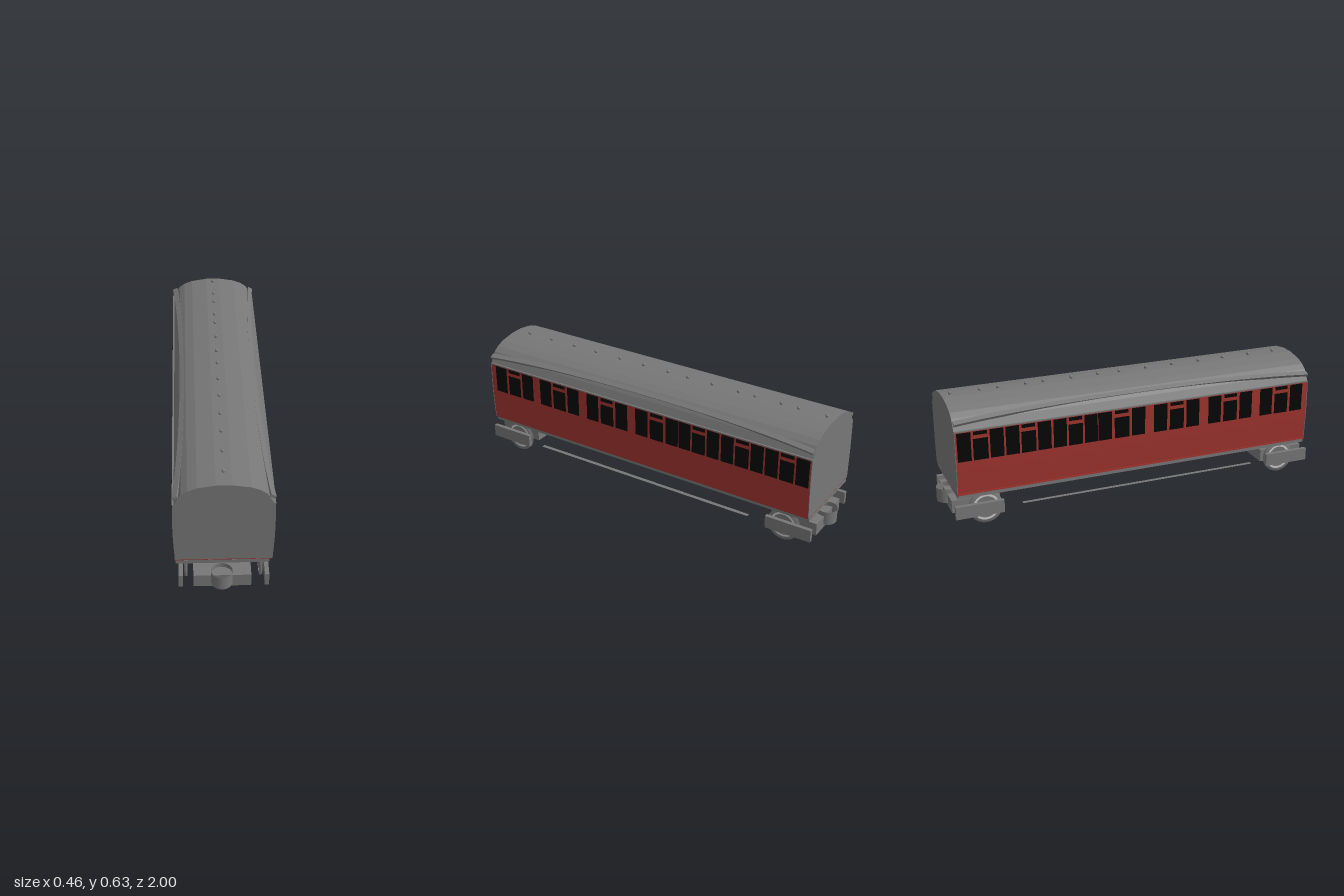
import * as THREE from 'three';

const Z0 = -0.945, Z1 = 0.926, LEN = Z1 - Z0, MID = (Z0 + Z1) / 2;
const grey = new THREE.MeshStandardMaterial({ color: 0x777777 });
const greyThin = new THREE.MeshStandardMaterial({ color: 0x777777, side: THREE.DoubleSide });
const pale = new THREE.MeshStandardMaterial({ color: 0xcccccc, side: THREE.DoubleSide });
const red = new THREE.MeshStandardMaterial({ color: 0xa0342f });
const black = new THREE.MeshStandardMaterial({ color: 0x050505 });

function add(parent, name, geometry, material, x = 0, y = 0, z = 0) {
  const mesh = new THREE.Mesh(geometry, material);
  mesh.name = name;
  mesh.position.set(x, y, z);
  parent.add(mesh);
  return mesh;
}

const box = (w, h, d) => new THREE.BoxGeometry(w, h, d);

// Symmetric section: right half listed from bottom to top, then mirrored
function section(half, inset = 0) {
  const right = half.map(([x, y]) => [x - inset, y]);
  const left = right.map(([x, y]) => [-x, y]).reverse();
  return new THREE.Shape([...right, ...left].map(([x, y]) => new THREE.Vector2(x, y)));
}

const extrude = (shape, depth) =>
  new THREE.ExtrudeGeometry(shape, { depth, bevelEnabled: false, curveSegments: 24 });

const SIDE = [[0.22, 0.189], [0.2235, 0.25], [0.2262, 0.31], [0.2275, 0.37], [0.2275, 0.41], [0.2265, 0.46], [0.2255, 0.507]];
const ROOF = [[0.22, 0.507], [0.2, 0.546], [0.188, 0.563], [0.16, 0.583], [0.117, 0.6], [0.036, 0.613]];

function buildBody(group) {
  add(group, 'bodySides', extrude(section(SIDE, 0.0015), LEN), red, 0, 0, Z0);
  add(group, 'roof', extrude(section(ROOF), LEN), grey, 0, 0, Z0);
  const end = extrude(section([...SIDE, ...ROOF]), 0.003);
  add(group, 'frontEndWall', end, grey, 0, 0, Z1 - 0.001);
  add(group, 'backEndWall', end, grey, 0, 0, Z0 - 0.002);
  add(group, 'cornice', box(0.454, 0.006, LEN), grey, 0, 0.507, MID);
  add(group, 'sill', box(0.438, 0.006, LEN), red, -0.004, 0.1865, MID);
  add(group, 'underframe', box(0.425, 0.019, LEN), grey, -0.005, 0.1735, MID);
}

// Each compartment has a door window with a top light between two plain windows
function buildWindows(group) {
  const windows = new THREE.Group();
  windows.name = 'windows';
  const wide = [0.772, 0.478, 0.18, -0.115], narrow = [-0.354, -0.59, -0.824];
  for (const [centres, pitch, width] of [[wide, 0.088, 0.07], [narrow, 0.079, 0.066]]) {
    for (const z of centres) {
      for (const s of [-1, 1]) {
        const x = s * 0.2235;
        for (const k of [-1, 1]) {
          add(windows, 'sideWindow', box(0.008, 0.143, width), black, x, 0.428, z + k * pitch);
        }
        add(windows, 'doorWindow', box(0.008, 0.107, width + 0.006), black, x, 0.4095, z);
        add(windows, 'topLight', box(0.008, 0.017, width), black, x, 0.491, z);
      }
    }
  }
  group.add(windows);
}

// Arched rain strip lying in the slope of the roof
function buildRainStrips(group) {
  const h = LEN / 2, shape = new THREE.Shape();
  shape.moveTo(-h, 0.066);
  shape.bezierCurveTo(-h / 2, 0.009, h / 2, 0.009, h, 0.066);
  shape.lineTo(h, 0.04);
  shape.bezierCurveTo(h / 2, -0.015, -h / 2, -0.015, -h, 0.04);
  const down = new THREE.Vector3(0.882, -0.471, 0);
  const normal = new THREE.Vector3(0.471, 0.882, 0);
  const along = new THREE.Vector3().crossVectors(normal, down);
  const frame = new THREE.Matrix4().makeBasis(along, down, normal);
  frame.setPosition(0.163, 0.564, MID);
  const geometry = extrude(shape, 0.014).applyMatrix4(frame);
  add(group, 'leftRainStrip', geometry, greyThin);
  const mirrored = geometry.clone().rotateY(Math.PI).translate(0, 0, 2 * MID);
  add(group, 'rightRainStrip', mirrored, greyThin);
}

function buildVents(group) {
  const vent = new THREE.SphereGeometry(0.0085, 12, 8);
  for (const z of [-0.905, -0.76, -0.67, -0.53, -0.44, -0.295, -0.155, -0.04, 0.105, 0.25, 0.4, 0.54, 0.69, 0.835]) {
    add(group, 'roofVent', vent, grey, 0, 0.621, z);
  }
}

// Wheel with a raised rim and a recessed web, its axis along x
function wheelGeometry() {
  const profile = [[0, -0.003], [0.054, -0.003], [0.056, -0.007], [0.083, -0.007],
    [0.083, 0.007], [0.056, 0.007], [0.054, 0.003], [0, 0.003]];
  const points = profile.map(([r, y]) => new THREE.Vector2(r, y));
  return new THREE.LatheGeometry(points, 32).rotateZ(Math.PI / 2);
}

function buildBogies(group) {
  const wheel = wheelGeometry();
  const rim = new THREE.RingGeometry(0.056, 0.067, 32).rotateY(Math.PI / 2);
  const coupler = new THREE.CylinderGeometry(0.049, 0.049, 0.07, 32, 1, true);
  for (const e of [-1, 1]) {
    const bogie = new THREE.Group();
    bogie.name = e > 0 ? 'frontBogie' : 'backBogie';
    add(bogie, 'bogieBlock', box(0.263, 0.065, 0.24), grey, -e * 0.007, 0.0835, e * 0.837);
    add(bogie, 'couplerRing', coupler, greyThin, -e * 0.0095, 0.104, e * 0.951);
    for (const s of [-1, 1]) {
      add(bogie, 'wheel', wheel, grey, s * 0.173, 0.083, e * 0.802);
      for (const k of [-1, 1]) {
        add(bogie, 'wheelRim', rim, pale, s * 0.173 + k * 0.0078, 0.083, e * 0.802);
      }
      add(bogie, 'sideFrame', box(0.02, 0.065, 0.24), grey, s * 0.196, 0.0835, e * 0.837);
    }
    group.add(bogie);
  }
  // Flat steps between the bogies
  const step = new THREE.PlaneGeometry(0.02, 1.25).rotateX(-Math.PI / 2);
  for (const s of [-1, 1]) add(group, 'footStep', step, greyThin, s * 0.2, 0.083, 0);
}

export function createModel() {
  const group = new THREE.Group();
  group.name = 'railwayCoach';
  buildBody(group);
  buildWindows(group);
  buildRainStrips(group);
  buildVents(group);
  buildBogies(group);
  return group;
}
